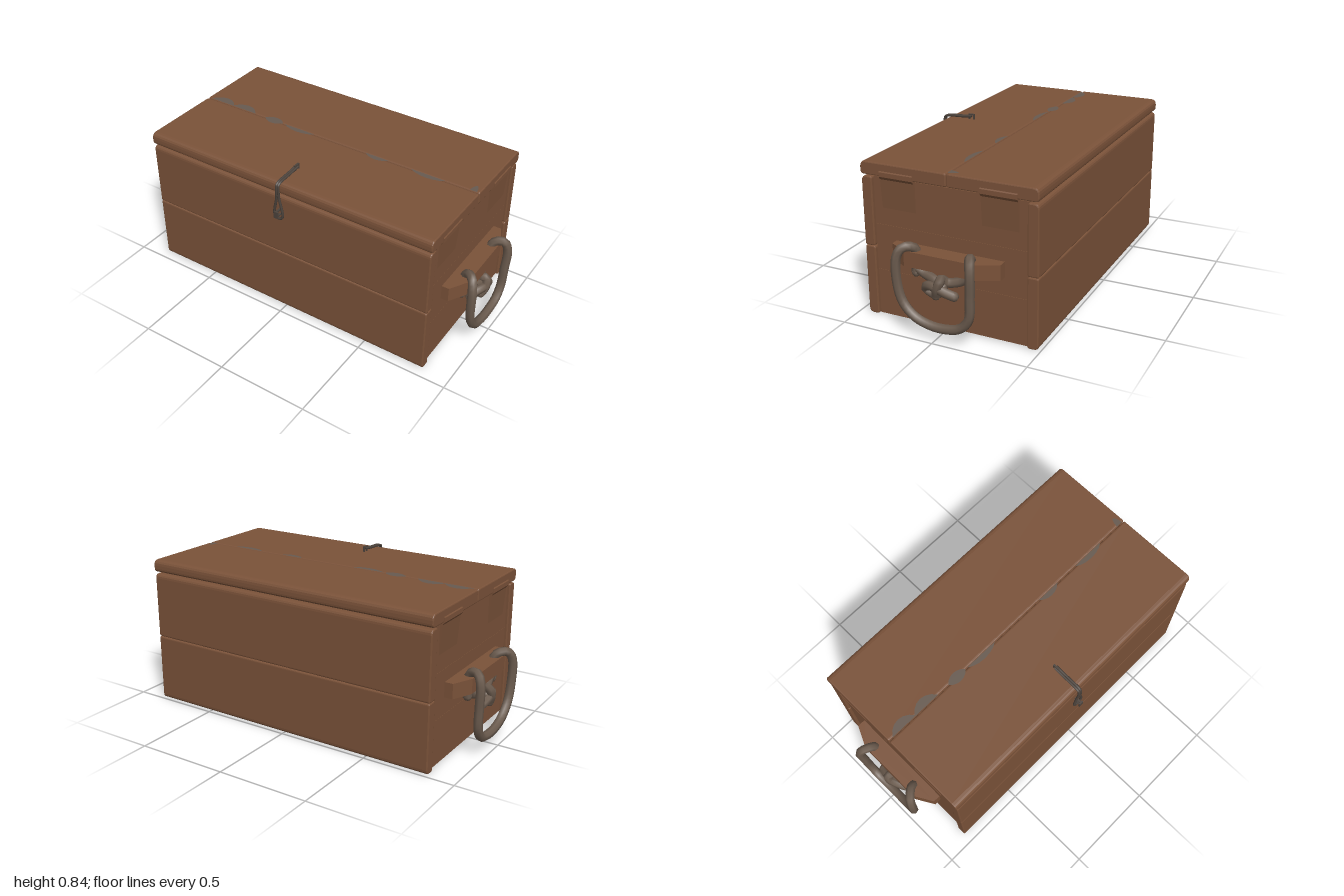
import * as THREE from 'three';

const material = (name, color, extra = {}) => {
  const m = new THREE.MeshStandardMaterial({ color, ...extra });
  m.name = name;
  return m;
};
const V = (x, y, z) => new THREE.Vector3(x, y, z);

// Rectangle with its own rounding for each corner: [lowLeft, lowRight, highRight, highLeft]
function roundedRect(x0, x1, y0, y1, [a, b, c, d]) {
  const s = new THREE.Shape();
  s.moveTo(x0 + a, y0);
  s.lineTo(x1 - b, y0);
  s.quadraticCurveTo(x1, y0, x1, y0 + b);
  s.lineTo(x1, y1 - c);
  s.quadraticCurveTo(x1, y1, x1 - c, y1);
  s.lineTo(x0 + d, y1);
  s.quadraticCurveTo(x0, y1, x0, y1 - d);
  s.lineTo(x0, y0 + a);
  s.quadraticCurveTo(x0, y0, x0 + a, y0);
  return s;
}

export function createModel() {
  const model = new THREE.Group();
  model.name = 'woodenChest';
  const wood = material('wood brown', 0x7a5239);
  const rope = material('rope grey brown', 0x6b5b4e);
  const metal = material('dark iron', 0x4c433c);
  const worn = material('worn grey', 0x675a50, { side: THREE.DoubleSide });

  const add = (name, geometry, mat, parent = model) => {
    const mesh = new THREE.Mesh(geometry, mat);
    mesh.name = name;
    parent.add(mesh);
    return mesh;
  };

  // Board running along x, profile drawn in z and y
  const board = (name, z0, z1, y0, y1, half, radii) => {
    const bevel = 0.006;
    const g = new THREE.ExtrudeGeometry(roundedRect(z0, z1, y0, y1, radii), {
      depth: 2 * (half - bevel), curveSegments: 4, bevelEnabled: true,
      bevelThickness: bevel, bevelSize: bevel, bevelOffset: -bevel, bevelSegments: 2,
    });
    g.translate(0, 0, -(half - bevel)).rotateY(-Math.PI / 2);
    return add(name, g, wood);
  };

  // Long walls: two boards each
  for (const [low, high, label] of [[0, 0.371, 'Lower'], [0.373, 0.735, 'Upper']]) {
    const b = low === 0 ? 0.025 : 0.01, t = low === 0 ? 0.01 : 0.025;
    board('front' + label + 'Board', 0.394, 0.45, low, high, 0.85, [0.012, b, t, 0.012]);
    board('back' + label + 'Board', -0.488, -0.43, low, high, 0.85, [b, 0.012, 0.012, t]);
  }

  // Lid: two boards with rounded outer edges
  board('lidFrontBoard', -0.018, 0.452, 0.745, 0.812, 0.855, [0.01, 0.02, 0.03, 0.012]);
  board('lidBackBoard', -0.49, -0.021, 0.745, 0.812, 0.855, [0.02, 0.01, 0.012, 0.03]);
  add('lidSeam', new THREE.BoxGeometry(1.69, 0.045, 0.02), wood).position.set(0, 0.775, -0.02);

  // Floor
  add('floor', new THREE.BoxGeometry(1.66, 0.03, 0.826), wood).position.set(0, 0.02, -0.018);

  // Worn patches along the lid seam: [centre x, half width, reach]
  for (const [x, w, reach] of [[-0.75, 0.08, -0.05], [-0.6, 0.08, -0.05], [-0.39, 0.06, -0.03],
    [-0.39, 0.06, 0.03], [-0.22, 0.1, 0.03], [0.27, 0.07, 0.03], [0.57, 0.1, 0.03], [0.82, 0.02, -0.05]]) {
    const s = new THREE.Shape();
    s.moveTo(x - w, 0.02);
    s.bezierCurveTo(x - w / 2, 0.02 - reach * 1.3, x + w / 2, 0.02 - reach * 1.3, x + w, 0.02);
    add('wornPatch', new THREE.ShapeGeometry(s, 6).rotateX(-Math.PI / 2), worn).position.y = 0.8135;
  }

  for (const side of [1, -1]) {
    const end = new THREE.Group();
    end.name = side > 0 ? 'leftEnd' : 'rightEnd';
    model.add(end);

    // End wall: three stacked boards
    for (const [low, high] of [[0.004, 0.247], [0.248, 0.491], [0.492, 0.737]]) {
      add('endBoard', new THREE.BoxGeometry(0.055, high - low, 0.82), wood, end)
        .position.set(side * 0.808, (low + high) / 2, -0.02);
    }

    // Lid battens showing at the end, tapering into the wall
    for (const [z0, z1] of [[0.16, 0.345], [-0.385, -0.195]]) {
      const s = new THREE.Shape([[0.8, 0.58], [0.836, 0.58], [0.848, 0.73], [0.859, 0.745], [0.859, 0.768],
        [0.853, 0.776], [0.8, 0.776]].map(([x, y]) => new THREE.Vector2(side * x, y)));
      add('battenEnd', new THREE.ExtrudeGeometry(s, { depth: z1 - z0, bevelEnabled: false }), wood, end)
        .position.z = z0;
    }

    // Wooden cleat carrying the rope
    const cleat = new THREE.Shape([[0.83, 0.31], [0.88, 0.31], [0.93, 0.2], [0.93, -0.18], [0.875, -0.275],
      [0.83, -0.275]].map(([x, z]) => new THREE.Vector2(side * x, z)));
    add('handleCleat', new THREE.ExtrudeGeometry(cleat, { depth: 0.08, bevelEnabled: false })
      .rotateX(-Math.PI / 2), wood, end).position.y = 0.34;

    // Rope strands
    const strand = (name, points, segments, radius = 0.024) => {
      const curve = new THREE.CatmullRomCurve3(points.map(([x, y, z]) => V(side * x, y, z)));
      add(name, new THREE.TubeGeometry(curve, segments, radius, 7), rope, end);
      for (const t of [0, 1]) {
        const cap = add(name + 'End', new THREE.SphereGeometry(radius, 7, 5), rope, end);
        cap.position.copy(curve.getPoint(t));
      }
    };
    strand('ropeHandle', [
      [0.885, 0.30, 0.14], [0.885, 0.40, 0.13], [0.91, 0.44, 0.14], [0.95, 0.445, 0.175], [0.967, 0.40, 0.197],
      [0.968, 0.25, 0.195], [0.966, 0.165, 0.168], [0.964, 0.105, 0.11], [0.962, 0.075, 0.03],
      [0.962, 0.072, -0.06], [0.964, 0.095, -0.14], [0.966, 0.155, -0.185], [0.97, 0.27, -0.195],
      [0.972, 0.40, -0.198], [0.95, 0.445, -0.186], [0.91, 0.44, -0.17], [0.885, 0.39, -0.16],
      [0.885, 0.30, -0.15]], 60);
    // Knot under the cleat
    strand('knotRope', [
      [0.885, 0.33, 0.14], [0.89, 0.305, 0.09], [0.91, 0.29, 0.02], [0.925, 0.265, -0.03],
      [0.915, 0.235, -0.01], [0.905, 0.215, 0.03], [0.905, 0.235, 0.075], [0.92, 0.26, 0.06],
      [0.945, 0.27, 0.0], [0.94, 0.25, -0.05], [0.93, 0.235, -0.09]], 40);
    strand('knotRope', [
      [0.885, 0.325, -0.15], [0.885, 0.295, -0.1], [0.9, 0.285, -0.04], [0.925, 0.31, -0.02],
      [0.945, 0.31, -0.025], [0.95, 0.27, -0.01], [0.935, 0.225, 0.005]], 28);
  }

  // Clasp: wire hook over the front edge, its loop, and two staples
  const clasp = new THREE.Group();
  clasp.name = 'clasp';
  clasp.position.x = -0.008;
  model.add(clasp);
  const wire = (name, points, r = 0.007, closed = false) => {
    const curve = new THREE.CatmullRomCurve3(points.map((p) => V(...p)), closed, 'catmullrom', 0.4);
    add(name, new THREE.TubeGeometry(curve, 40, r, 6, closed), metal, clasp);
  };
  for (const s of [1, -1]) {
    wire('hookArm', [[s * 0.006, 0.83, 0.3], [s * 0.006, 0.824, 0.36], [s * 0.006, 0.82, 0.44],
      [s * 0.006, 0.81, 0.466], [s * 0.006, 0.78, 0.471], [s * 0.008, 0.73, 0.47]]);
  }
  wire('hookLoop', [[0, 0.75, 0.47], [0.014, 0.70, 0.469], [0.026, 0.64, 0.468], [0.02, 0.613, 0.468],
    [0, 0.606, 0.468], [-0.02, 0.613, 0.468], [-0.026, 0.64, 0.468], [-0.014, 0.70, 0.469]], 0.007, true);
  const bar = (name, w, h, d, x, y, z) =>
    add(name, new THREE.BoxGeometry(w, h, d), metal, clasp).position.set(x, y, z);
  // Staple on the lid
  for (const z of [0.29, 0.317]) bar('lidStapleLeg', 0.01, 0.034, 0.007, 0, 0.823, z);
  bar('lidStapleTop', 0.01, 0.008, 0.035, 0, 0.838, 0.304);
  // Staple on the front wall
  for (const y of [0.624, 0.655]) bar('frontStapleLeg', 0.01, 0.008, 0.045, 0, y, 0.468);
  bar('frontStaplePin', 0.026, 0.039, 0.008, 0, 0.64, 0.49);

  return model;
}
